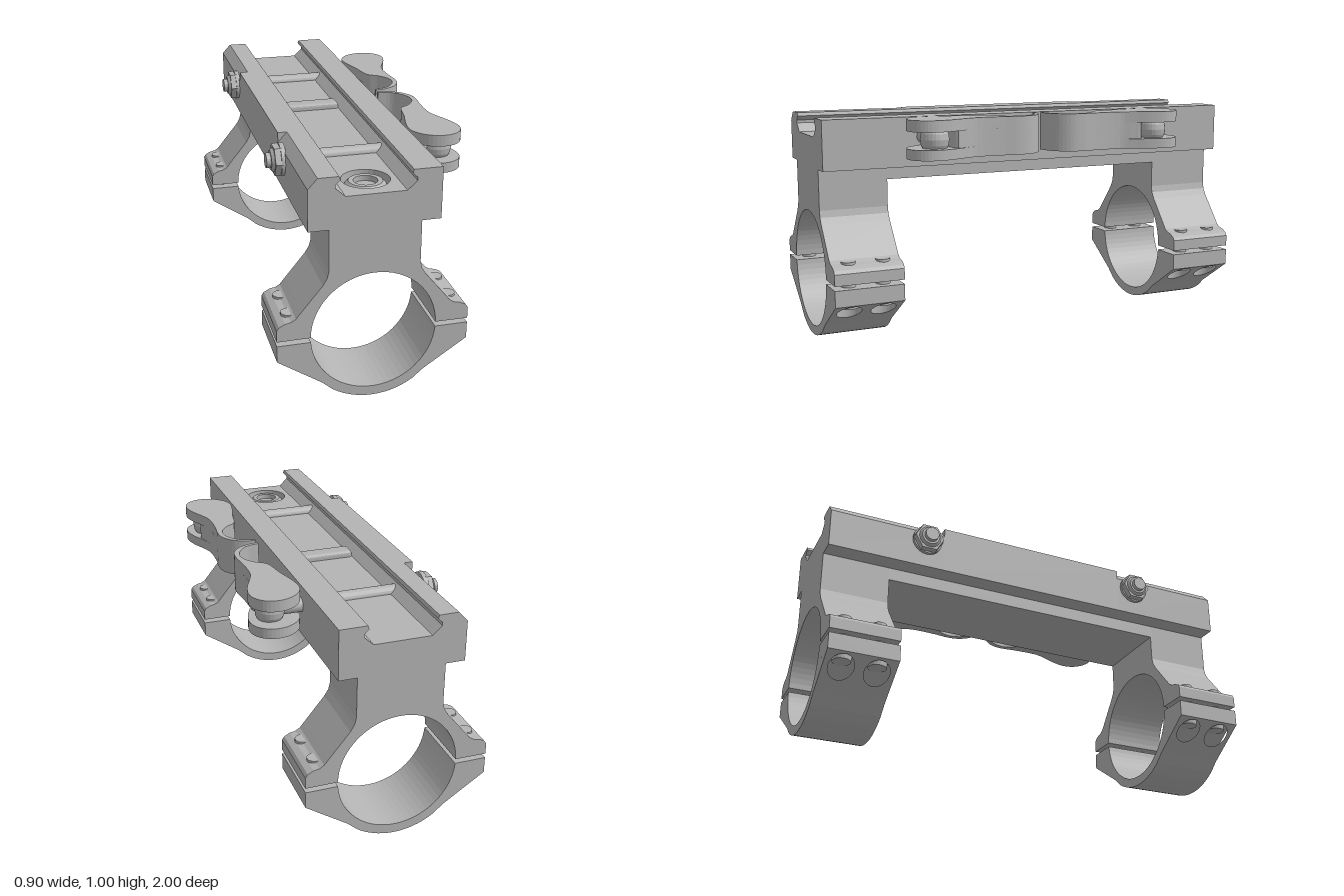
import * as THREE from 'three';
import { RoundedBoxGeometry } from 'three/addons/geometries/RoundedBoxGeometry.js';

const CX = -0.05;       // middle plane of the clamps
const RING_Y = 0.308;   // ring centre height
const BORE = 0.265;

const metal = new THREE.MeshStandardMaterial({ color: 0xb4b4b4, flatShading: true });
metal.name = 'grey metal';

function add(parent, name, geometry, x = 0, y = 0, z = 0) {
  const mesh = new THREE.Mesh(geometry, metal);
  mesh.name = name;
  mesh.position.set(x, y, z);
  parent.add(mesh);
  return mesh;
}

const shapeOf = (pts) => new THREE.Shape(pts.map(([x, y]) => new THREE.Vector2(x, y)));

// Profile in x/y, extruded from z0 to z1
function bar(pts, z0, z1) {
  return new THREE.ExtrudeGeometry(shapeOf(pts), { depth: z1 - z0, bevelEnabled: false }).translate(0, 0, z0);
}

// Plan shape in x/z, extruded downwards from a top height
function plate(shape, top, depth) {
  return new THREE.ExtrudeGeometry(shape, { depth, bevelEnabled: false, curveSegments: 16 })
    .rotateX(Math.PI / 2).translate(0, top, 0);
}

// Cylinder along x from x0 to x1
function rod(r0, r1, x0, x1, sides = 24) {
  return new THREE.CylinderGeometry(r1, r0, x1 - x0, sides).rotateZ(-Math.PI / 2).translate((x0 + x1) / 2, 0, 0);
}

function arc(r, a0, a1, n) {
  return Array.from({ length: n + 1 }, (_, i) => {
    const a = a0 + (a1 - a0) * i / n;
    return [CX + r * Math.cos(a), RING_Y + r * Math.sin(a)];
  });
}

// Offsets from the middle plane, to one side
const side = (half, s) => half.map(([d, y]) => [CX + s * d, y]);

function railProfile(chamfer) {
  const corner = chamfer ? [[-0.325, 0.957], [-0.285, 1]] : [[-0.325, 1]];
  return [
    [-0.325, 0.78], ...corner,
    [-0.2, 1], [-0.195, 0.985], [-0.215, 0.965], [-0.215, 0.952], [-0.175, 0.915], [-0.175, 0.875],
    [0.075, 0.875], [0.075, 0.915], [0.115, 0.952], [0.115, 0.965], [0.095, 0.985], [0.1, 1],
    [0.22, 1], [0.22, 0.78],
  ];
}

function buildRail(root) {
  const rail = new THREE.Group();
  rail.name = 'rail';
  root.add(rail);
  add(rail, 'railMiddle', bar(railProfile(false), -0.46, 0.46));
  add(rail, 'railFrontEnd', bar(railProfile(true), 0.46, 1));
  add(rail, 'railBackEnd', bar(railProfile(true), -1, -0.46));
  add(rail, 'railSpine', bar([[-0.24, 0.72], [0.14, 0.72], [0.14, 0.79], [-0.24, 0.79]], -0.7, 0.7));

  // Channel floor with the screw recess
  const floor = shapeOf([[-0.175, -1], [0.075, -1], [0.075, 1], [-0.175, 1]]);
  floor.holes.push(new THREE.Path().absarc(CX, 0.845, 0.1, 0, Math.PI * 2, true));
  add(rail, 'channelFloor', plate(floor, 0.915, 0.04));
  const head = [[0, 0.012], [0.05, 0.012], [0.05, 0.035], [0.07, 0.035], [0.085, 0.02], [0.085, 0]];
  add(rail, 'floorScrew', new THREE.LatheGeometry(head.map(([x, y]) => new THREE.Vector2(x, y)).reverse(), 28),
    CX, 0.874, 0.845);
  add(rail, 'recoilLug', new RoundedBoxGeometry(0.25, 0.06, 0.08, 2, 0.015), CX, 0.914, -0.08);
}

function buildClamp(root, name, z) {
  const clamp = new THREE.Group();
  clamp.name = name;
  clamp.position.z = z;
  root.add(clamp);
  const h = 0.155;

  // Upper half with the post
  const up = [[0.19, 0.79], [0.19, 0.6], [0.197, 0.57], [0.215, 0.54], [0.305, 0.43], [0.325, 0.405],
    [0.345, 0.393], [0.37, 0.388], [0.395, 0.375], [0.405, 0.36], [0.405, 0.31]];
  add(clamp, 'upperClamp', bar([
    ...side(up, -1), ...arc(BORE, Math.PI - 0.01, 0.01, 32), ...side(up, 1).reverse(),
  ], -h, h));

  // Lower half
  const low = [[0.405, 0.29], [0.405, 0.267], [0.22, 0.144], [0.22, 0.094]];
  const a = Math.atan2(0.248, 0.17);
  add(clamp, 'lowerClamp', bar([
    ...side(low, -1), ...arc(0.308, Math.PI + a, Math.PI * 2 - a, 14), ...side(low, 1).reverse(),
    ...arc(BORE, -0.068, -Math.PI + 0.068, 32),
  ], -h, h));

  for (const s of [-1, 1]) {
    // Sloped cheek with screw pockets, sheared to follow the lower half
    const cheek = shapeOf([[CX + s * 0.22, -h], [CX + s * 0.405, -h], [CX + s * 0.405, h], [CX + s * 0.22, h]]);
    for (const sz of [-0.077, 0.077]) {
      const x = CX + s * 0.34;
      cheek.holes.push(new THREE.Path().absarc(x, sz, 0.055, 0, Math.PI * 2, true));
      add(clamp, 'clampScrew', new THREE.CylinderGeometry(0.032, 0.032, 0.2, 20), x, 0.3, sz);
      add(clamp, 'clampScrewHead', new THREE.CylinderGeometry(0.044, 0.04, 0.055, 20), x, 0.224, sz);
    }
    const geo = plate(cheek, 0.05, 0.05);
    const p = geo.attributes.position;
    for (let i = 0; i < p.count; i++) {
      p.setY(i, p.getY(i) + 0.094 + (Math.abs(p.getX(i) - CX) - 0.22) * 0.665);
    }
    geo.computeVertexNormals();
    add(clamp, 'lowerClampCheek', geo);
  }
}

function buildLever(root, name, s) {
  const lever = new THREE.Group();
  lever.name = name;
  root.add(lever);
  // Curled finger grip, shared by all layers
  const outer = [[0.25, 0.012], [0.3, 0.022], [0.35, 0.05], [0.385, 0.1], [0.393, 0.16], [0.385, 0.24], [0.385, 0.36]];
  const inner = [[0.262, 0.38], [0.285, 0.27], [0.33, 0.235], [0.362, 0.19], [0.37, 0.14], [0.35, 0.085], [0.31, 0.045], [0.25, 0.028]];
  // Wide end around the pivot
  const pad = [[0.405, 0.42], [0.435, 0.49], [0.45, 0.56], [0.44, 0.61], [0.405, 0.65], [0.35, 0.665],
    [0.295, 0.65], [0.25, 0.61], [0.23, 0.56], [0.235, 0.49]];
  const plan = (end) => {
    const v = (pts) => pts.map(([x, z]) => new THREE.Vector3(x, z, 0));
    const curve = new THREE.CatmullRomCurve3(v([...outer, ...end, ...inner]), false, 'centripetal');
    return shapeOf(curve.getPoints(80).map((q) => [q.x, s * q.y]));
  };
  add(lever, 'leverTop', plate(plan(pad), 1, 0.05));
  add(lever, 'leverBottom', plate(plan(pad), 0.875, 0.045));
  add(lever, 'leverWeb', plate(plan([[0.4, 0.42], [0.405, 0.46], [0.25, 0.46]]), 0.95, 0.075));

  // Pivot barrel, cross bolt and nut
  const z = s * 0.545;
  const barrel = [[0, -0.045], [0.05, -0.045], [0.06, -0.025], [0.064, 0], [0.06, 0.025], [0.05, 0.045], [0, 0.045]];
  add(lever, 'pivotBarrel', new THREE.LatheGeometry(barrel.map(([x, y]) => new THREE.Vector2(x, y)), 24), 0.357, 0.913, z);
  add(lever, 'crossBolt', rod(0.032, 0.032, -0.397, 0.33), 0, 0.913, z);
  add(lever, 'nutWasher', rod(0.07, 0.07, -0.34, -0.32), 0, 0.913, z);
  add(lever, 'nut', rod(0.068, 0.072, -0.365, -0.335, 6), 0, 0.913, z);
  add(lever, 'nutCollar', rod(0.042, 0.056, -0.378, -0.36), 0, 0.913, z);
}

export function createModel() {
  const root = new THREE.Group();
  root.name = 'ringMount';
  buildRail(root);
  buildClamp(root, 'frontClamp', 0.845);
  buildClamp(root, 'backClamp', -0.845);
  buildLever(root, 'frontLever', 1);
  buildLever(root, 'backLever', -1);
  return root;
}
